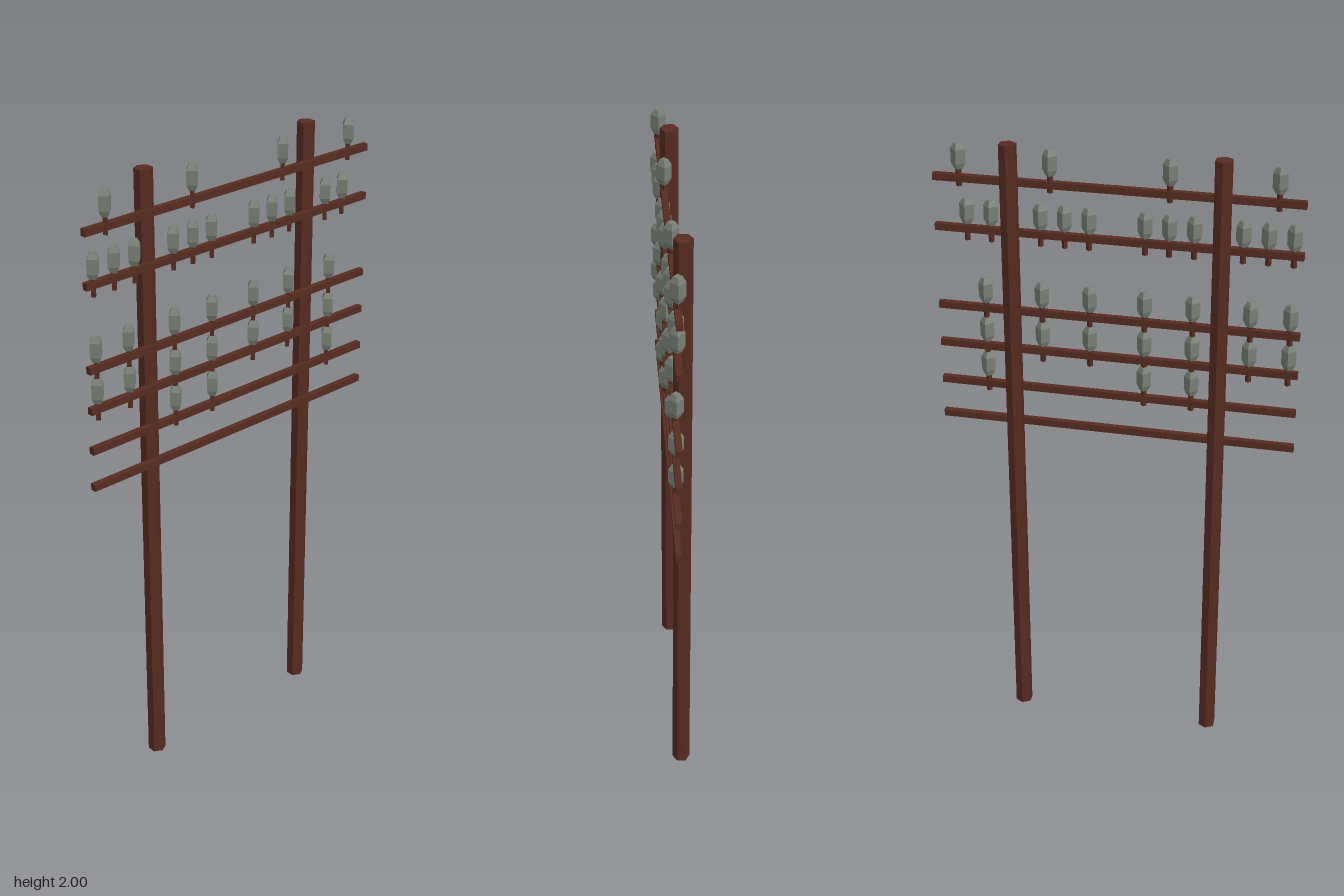
import * as THREE from 'three';

export function createModel() {
  const group = new THREE.Group();
  const wood = new THREE.MeshStandardMaterial({ name: 'brown wood', color: 0x562b20, flatShading: true });
  const glass = new THREE.MeshStandardMaterial({ name: 'grey green glass', color: 0x787f75, flatShading: true });

  const add = (parent, name, geometry, material, x, y, z) => {
    const mesh = new THREE.Mesh(geometry, material);
    mesh.name = name;
    mesh.position.set(x, y, z);
    parent.add(mesh);
  };

  // Two hexagonal poles, a corner facing the front
  const poleGeo = new THREE.CylinderGeometry(0.028, 0.028, 2, 6);
  add(group, 'leftPole', poleGeo, wood, 0.32, 1, -0.0095);
  add(group, 'rightPole', poleGeo, wood, -0.32, 1, -0.0095);

  // Four-sided insulator with chamfered ends, on a thin pin; origin at its top
  const capGeo = new THREE.LatheGeometry([
    [0, -0.08], [0.013, -0.08], [0.0225, -0.062], [0.0225, -0.018], [0.012, 0], [0, 0],
  ].map(([r, y]) => new THREE.Vector2(r, y)), 4);
  const pinGeo = new THREE.CylinderGeometry(0.009, 0.009, 0.055, 4);

  // Crossarms: height, insulator top above the arm, insulator positions
  const wide = [-0.53, -0.41, -0.235, -0.087, 0.083, 0.232, 0.41];
  const rows = [
    [1.875, 0.108, [-0.48, -0.16, 0.2, 0.48]],
    [1.716, 0.096, [-0.53, -0.455, -0.38, -0.235, -0.16, -0.087, 0.083, 0.158, 0.232, 0.385, 0.46]],
    [1.459, 0.1, wide],
    [1.331, 0.097, wide],
    [1.202, 0.108, [-0.235, -0.087, 0.41]],
    [1.082, 0, []],
  ];
  const armGeo = new THREE.BoxGeometry(1.12, 0.022, 0.019);
  for (const [y, rise, xs] of rows) {
    add(group, 'crossarm', armGeo, wood, 0, y, 0.015);
    for (const x of xs) {
      const insulator = new THREE.Group();
      insulator.name = 'insulator';
      insulator.position.set(x, y + rise, 0.015);
      add(insulator, 'insulatorCap', capGeo, glass, 0, 0, 0);
      add(insulator, 'insulatorPin', pinGeo, wood, 0, -0.1055, 0);
      group.add(insulator);
    }
  }
  return group;
}
